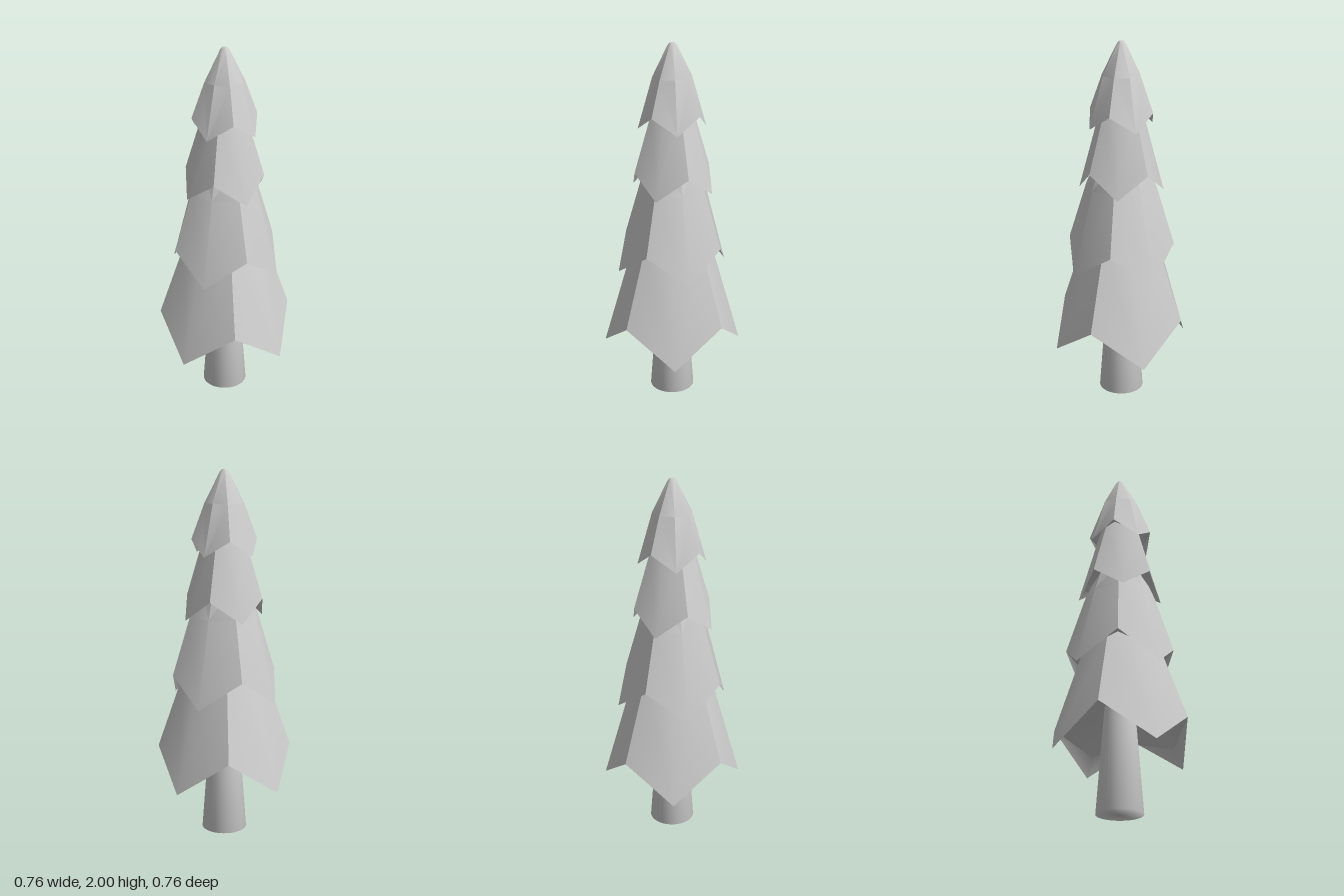
import * as THREE from 'three';
import { toCreasedNormals } from 'three/addons/utils/BufferGeometryUtils.js';

const SIDES = 8;
const material = new THREE.MeshStandardMaterial({ color: 0xcccccc });

// Skins octagonal rings, listed top to bottom and then inward under the skirt.
// A ring is [tip radius, tip y, notch radius, notch y]; tips and notches alternate.
function branchTier(name, degrees, rings) {
  const point = ([r0, y0, r1, y1], j) => {
    const a = THREE.MathUtils.degToRad(degrees) + (j / SIDES) * Math.PI * 2;
    const r = j % 2 ? r1 : r0;
    return [r * Math.sin(a), j % 2 ? y1 : y0, r * Math.cos(a)];
  };
  const positions = [];
  for (let i = 0; i < rings.length - 1; i++) {
    for (let j = 0; j < SIDES; j++) {
      const a = point(rings[i], j), d = point(rings[i], j + 1);
      const b = point(rings[i + 1], j), c = point(rings[i + 1], j + 1);
      // Split each quad from its notch side so the left and right halves mirror
      if (j % 2) positions.push(...a, ...b, ...c, ...(rings[i][0] ? [...a, ...c, ...d] : []));
      else positions.push(...b, ...c, ...d, ...(rings[i][0] ? [...a, ...b, ...d] : []));
    }
  }
  const geometry = new THREE.BufferGeometry();
  geometry.setAttribute('position', new THREE.Float32BufferAttribute(positions, 3));
  const mesh = new THREE.Mesh(toCreasedNormals(geometry, 0.7), material);
  mesh.name = name;
  return mesh;
}

// Zigzag hem, inner lip and the sloped underside
function skirt(tipR, tipY, notchR, notchY, coreR, coreY) {
  return [
    [tipR, tipY, notchR, notchY],
    [tipR * 0.86, tipY + (notchY - tipY) * 0.55, notchR * 0.86, notchY],
    [coreR, coreY, coreR, coreY],
  ];
}

const ring = (r, y) => [r, y, r, y];

export function createModel() {
  const tree = new THREE.Group();
  tree.name = 'pineTree';

  // Tapered round trunk, shaded softly over its foot
  const profile = [[0, 0], [0.124, 0], [0.079, 0.6], [0, 0.6]].map(([x, y]) => new THREE.Vector2(x, y));
  const trunk = new THREE.Mesh(new THREE.LatheGeometry(profile, 32), material);
  trunk.name = 'trunk';
  tree.add(trunk);

  // Four tiers of branches, each turned against the one below
  tree.add(
    branchTier('bottomBranches', -6, [
      ring(0, 1.08), ring(0.15, 1.06), [0.207, 0.91, 0.22, 0.91],
      ...skirt(0.383, 0.29, 0.367, 0.485, 0.07, 0.58),
    ]),
    branchTier('lowerMiddleBranches', 9, [
      ring(0, 1.4), ring(0.13, 1.38), [0.186, 1.22, 0.195, 1.22],
      ...skirt(0.308, 0.755, 0.293, 0.905, 0.08, 0.99),
    ]),
    branchTier('upperMiddleBranches', -30, [
      ring(0, 1.75), ring(0.08, 1.74), [0.112, 1.64, 0.118, 1.64],
      ...skirt(0.229, 1.205, 0.217, 1.322, 0.07, 1.38),
    ]),
    branchTier('topBranches', 0, [
      ring(0, 2), ring(0.014, 1.998), ring(0.026, 1.982), [0.104, 1.825, 0.108, 1.82],
      ...skirt(0.183, 1.55, 0.177, 1.635, 0.05, 1.7),
    ])
  );
  return tree;
}
